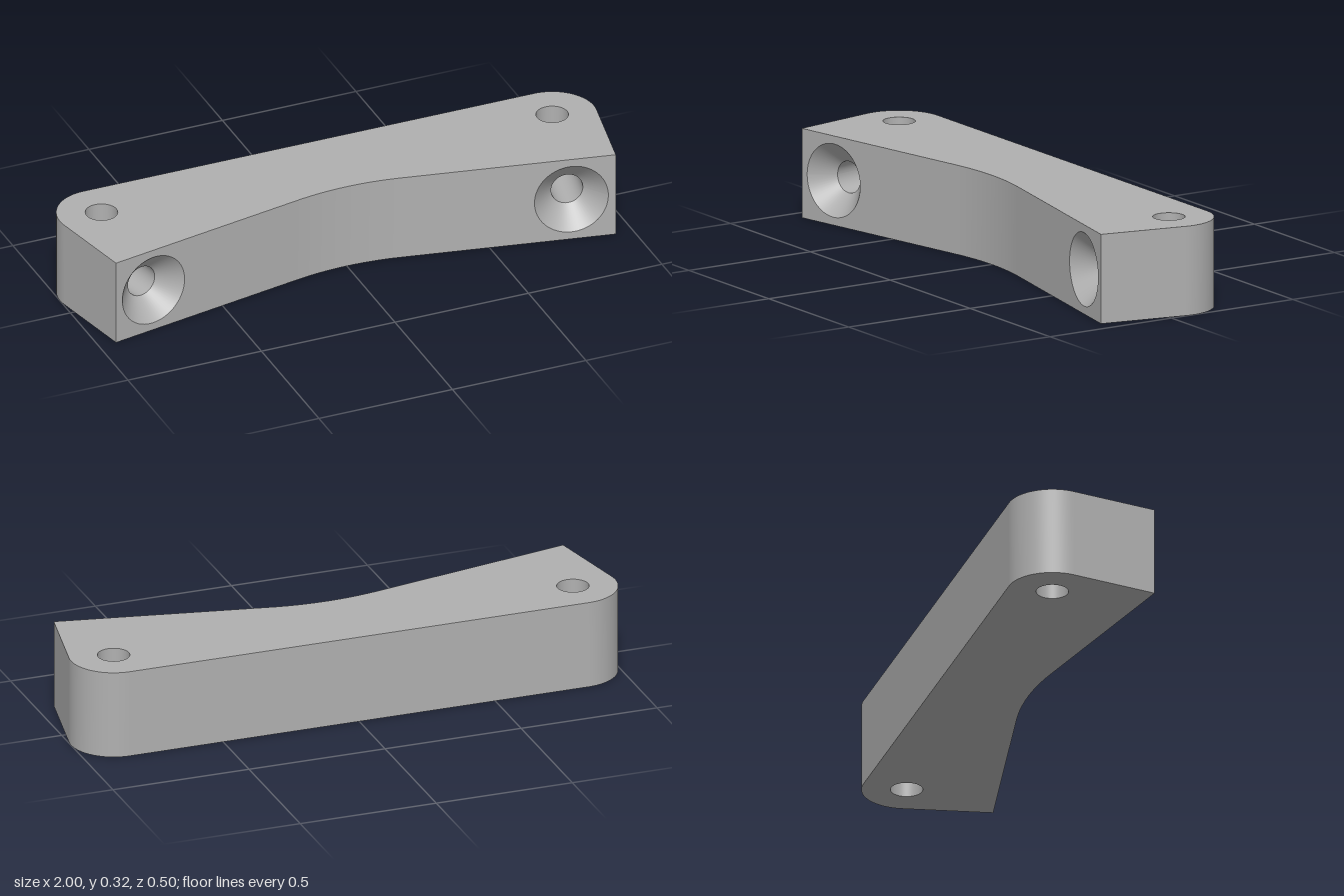
import * as THREE from 'three';

const H = 0.316;                     // thickness
const A = THREE.MathUtils.degToRad(11.2); // tilt of each wing
const R = 1;                         // radius of the concave middle
const TIP = [0.936, 0.248];          // front corner (x, z)
const EYE = [0.844, -0.092];         // vertical hole and back corner centre (x, z)
const CORNER = 0.156, HOLE = 0.056, SINK = 0.13, SINK_DEPTH = 0.074;
const cos = Math.cos(A), sin = Math.sin(A);
// point where the concave arc runs into the straight wing
const JOIN = [R * sin, TIP[1] - (TIP[0] - R * sin) * Math.tan(A)];

const frontArc = (t) => [R * Math.sin(t), JOIN[1] + R * cos - R * Math.cos(t)];
const backArc = (t) => [EYE[0] + CORNER * Math.cos(t), EYE[1] + CORNER * Math.sin(t)];

// smooth grid surface; it faces along du x dv
function sheet(f, nu, nv = 1) {
  const pos = [], idx = [];
  for (let i = 0; i <= nu; i++)
    for (let j = 0; j <= nv; j++) pos.push(...f(i / nu, j / nv));
  for (let i = 0; i < nu; i++)
    for (let j = 0; j < nv; j++) {
      const a = i * (nv + 1) + j, b = a + nv + 1;
      idx.push(a, b, b + 1, a, b + 1, a + 1);
    }
  const g = new THREE.BufferGeometry();
  g.setAttribute('position', new THREE.Float32BufferAttribute(pos, 3));
  g.setIndex(idx);
  g.computeVertexNormals();
  return g;
}

// upright wall along a plan path
const wall = (path, n) => sheet((u, v) => {
  const [x, z] = path(u);
  return [x, v * H, z];
}, n);

const line = (a, b) => (u) => [a[0] + (b[0] - a[0]) * u, a[1] + (b[1] - a[1]) * u];

function mirrorX(geometry) {
  const g = geometry.clone().applyMatrix4(new THREE.Matrix4().makeScale(-1, 1, 1));
  const ix = g.index;
  for (let i = 0; i < ix.count; i += 3) {
    const b = ix.getX(i + 1);
    ix.setX(i + 1, ix.getX(i + 2));
    ix.setX(i + 2, b);
  }
  return g;
}

// plan outline with the two vertical holes; sign flips z for top or bottom
function planShape(sign) {
  const half = [];
  for (let i = 1; i <= 16; i++) half.push(frontArc(A * i / 16));
  half.push(TIP);
  for (let i = 0; i <= 32; i++) half.push(backArc(A - (A + Math.PI / 2) * i / 32));
  const left = half.map(([x, z]) => [-x, z]).reverse();
  const pts = [frontArc(0), ...half, ...left].map(([x, z]) => new THREE.Vector2(x, sign * z));
  const shape = new THREE.Shape(pts);
  for (const s of [-1, 1]) {
    const hole = new THREE.Path();
    hole.absarc(s * EYE[0], sign * EYE[1], HOLE, 0, Math.PI * 2, true);
    shape.holes.push(hole);
  }
  return shape;
}

export function createModel() {
  const model = new THREE.Group();
  model.name = 'mountingBlock';
  const grey = new THREE.MeshStandardMaterial({ color: 0xb0b0b0 });
  grey.name = 'grey';

  const add = (name, geometry) => {
    const mesh = new THREE.Mesh(geometry, grey);
    mesh.name = name;
    model.add(mesh);
  };
  const addPair = (name, geometry) => {
    add(name + 'Left', geometry);
    add(name + 'Right', mirrorX(geometry));
  };

  // top and bottom faces
  add('topFace', new THREE.ShapeGeometry(planShape(-1), 32).rotateX(-Math.PI / 2).translate(0, H, 0));
  add('bottomFace', new THREE.ShapeGeometry(planShape(1), 32).rotateX(Math.PI / 2));

  // outer walls
  add('concaveFront', wall((u) => frontArc(A * (2 * u - 1)), 32));
  add('backWall', wall(line(backArc(-Math.PI / 2), [-EYE[0], EYE[1] - CORNER]), 1));
  addPair('endWall', wall(line(TIP, backArc(A)), 1));
  addPair('roundedCorner', wall((u) => backArc(A - (A + Math.PI / 2) * u), 32));

  // wing frame: x along the wing face, y up, z out of the face
  const frame = new THREE.Matrix4().makeBasis(
    new THREE.Vector3(cos, 0, sin), new THREE.Vector3(0, 1, 0), new THREE.Vector3(-sin, 0, cos)
  ).setPosition(JOIN[0], 0, JOIN[1]);
  const dx = EYE[0] - JOIN[0], dz = EYE[1] - JOIN[1];
  const hx = dx * cos + dz * sin;      // hole position along the wing
  const depth = dx * sin - dz * cos;   // distance in to the vertical hole
  const w = Math.hypot(TIP[0] - JOIN[0], TIP[1] - JOIN[1]);
  const wing = (name, geometry) => addPair(name, geometry.applyMatrix4(frame));

  // wing face with the countersink opening
  const face = new THREE.Shape([[0, 0], [w, 0], [w, H], [0, H]].map((p) => new THREE.Vector2(...p)));
  const opening = new THREE.Path();
  opening.absarc(hx, H / 2, SINK, 0, Math.PI * 2, true);
  face.holes.push(opening);
  wing('wingFace', new THREE.ShapeGeometry(face, 32));

  // countersink cone, and the bore that runs into the vertical hole
  const ring = (u, r, z) => {
    const t = u * Math.PI * 2;
    return [hx + r * Math.cos(t), H / 2 + r * Math.sin(t), z];
  };
  wing('countersink', sheet((u, v) => ring(u, SINK + (HOLE - SINK) * v, -SINK_DEPTH * v), 64));
  wing('screwBore', sheet((u, v) => {
    const end = depth - HOLE * Math.abs(Math.sin(u * Math.PI * 2));
    return ring(u, HOLE, -SINK_DEPTH - (end - SINK_DEPTH) * v);
  }, 64));

  // vertical hole, cut away where the bore enters
  const shaft = (upper) => sheet((u, v) => {
    const t = u * Math.PI * 2 - Math.PI;
    const gap = HOLE * Math.max(0, Math.cos(t));
    const y0 = upper ? H : H / 2 - gap, y1 = upper ? H / 2 + gap : 0;
    return [hx + HOLE * Math.sin(t), y0 + (y1 - y0) * v, -depth + HOLE * Math.cos(t)];
  }, 64);
  wing('upperShaft', shaft(true));
  wing('lowerShaft', shaft(false));

  return model;
}
